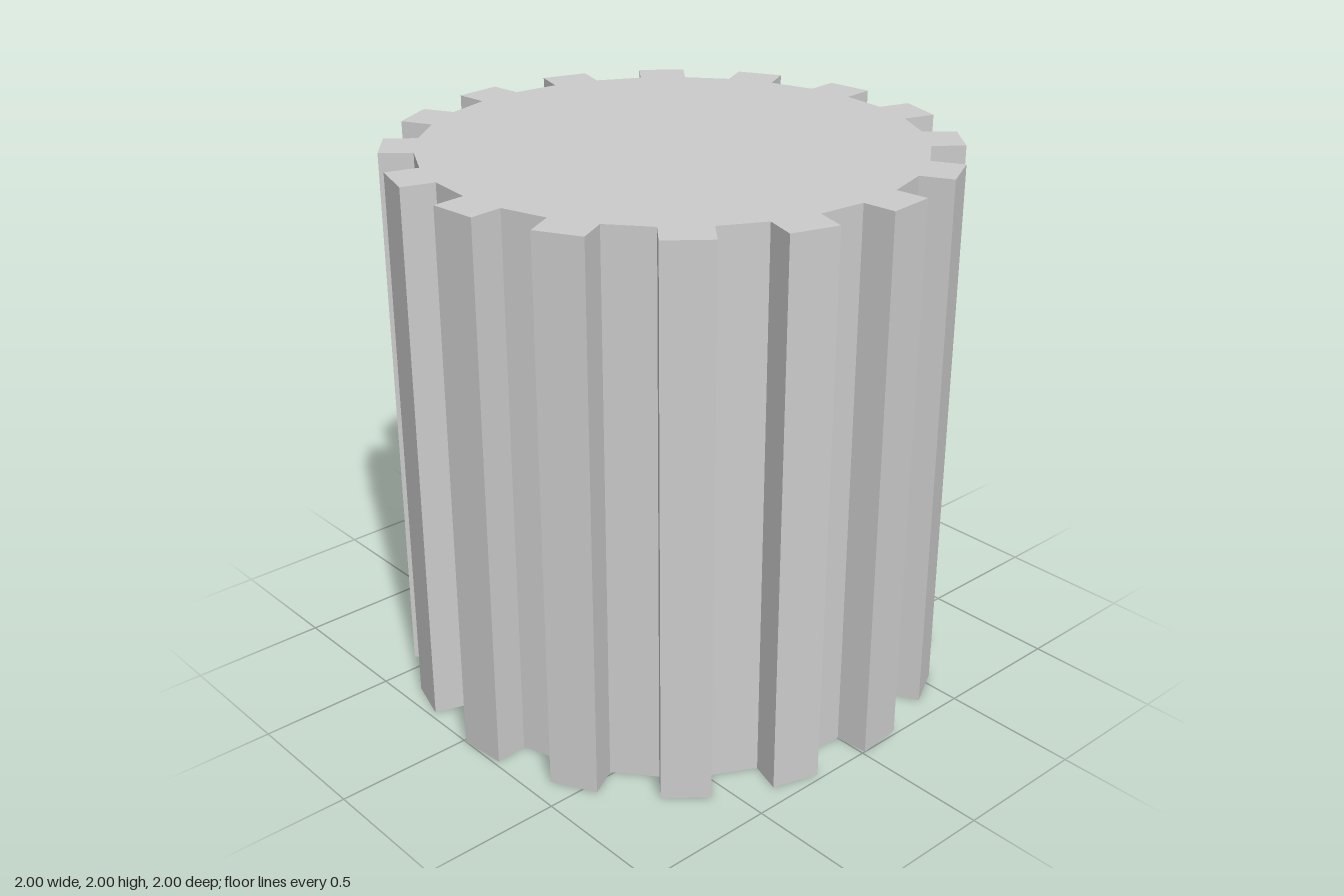
import * as THREE from 'three';

const TEETH = 16;
const HEIGHT = 2;
const ROOT_RADIUS = 0.88; // corner radius of the 32-sided core
const TIP_RADIUS = 1; // corner radius at the tooth tips

// Gear outline: straight-sided teeth raised from every other side of the core polygon
function gearShape() {
  const halfAngle = Math.PI / (2 * TEETH);
  const halfWidth = ROOT_RADIUS * Math.sin(halfAngle);
  const root = ROOT_RADIUS * Math.cos(halfAngle);
  const tip = Math.sqrt(TIP_RADIUS ** 2 - halfWidth ** 2);
  const tooth = [[root, -halfWidth], [tip, -halfWidth], [tip, halfWidth], [root, halfWidth]];
  const points = [];
  for (let i = 0; i < TEETH; i++) {
    const angle = halfAngle + (i / TEETH) * Math.PI * 2;
    for (const [x, y] of tooth) {
      points.push(new THREE.Vector2(x, y).rotateAround(new THREE.Vector2(), angle));
    }
  }
  return new THREE.Shape(points);
}

export function createModel() {
  const group = new THREE.Group();
  group.name = 'gear';

  // Solid toothed body, extruded upwards
  const geometry = new THREE.ExtrudeGeometry(gearShape(), { depth: HEIGHT, bevelEnabled: false });
  geometry.rotateX(-Math.PI / 2);
  const material = new THREE.MeshStandardMaterial({ color: 0xcccccc, flatShading: true });
  const body = new THREE.Mesh(geometry, material);
  body.name = 'toothedBody';
  group.add(body);

  return group;
}
